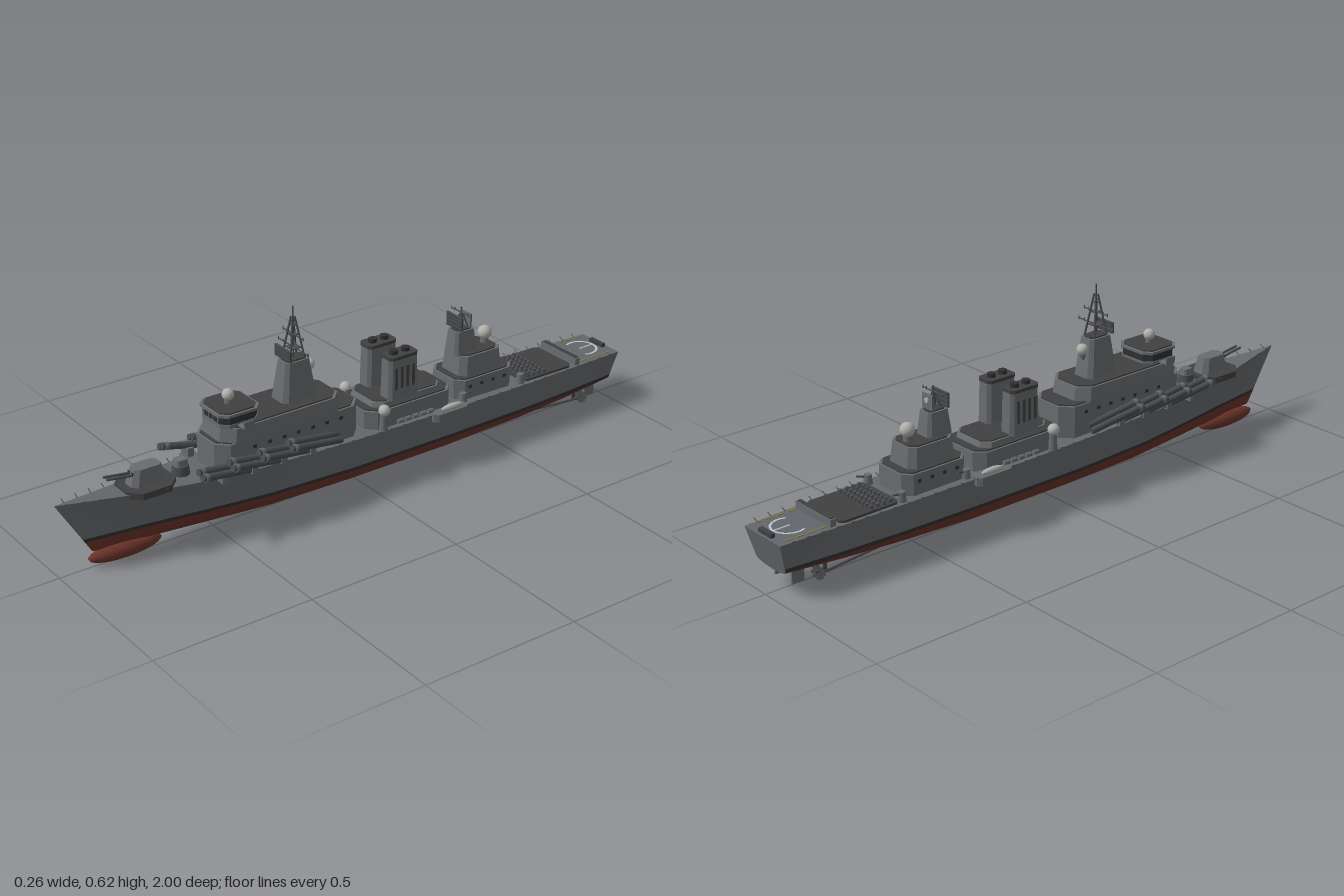
import * as THREE from 'three';

const mat = (name, color, side = THREE.FrontSide) => {
  const m = new THREE.MeshStandardMaterial({ color, side });
  m.name = name;
  return m;
};

export function createModel() {
  const ship = new THREE.Group();
  ship.name = 'warship';
  const M = {
    hull: mat('hullGrey', 0x66696c), red: mat('antifoulingRed', 0x6a3329), band: mat('waterlineBlack', 0x2f3032),
    deck: mat('deckGrey', 0x63676b), roof: mat('roofDark', 0x404041), upper: mat('superstructureGrey', 0x686c6f),
    dome: mat('domeWhite', 0xb0b0ac), white: mat('markingWhite', 0xbcc5cf, THREE.DoubleSide),
    yellow: mat('markingYellow', 0x8f7d32), metal: mat('gunMetal', 0x4a4c4f),
  };
  const add = (name, geo, m, x = 0, y = 0, z = 0, parent = ship) => {
    const mesh = new THREE.Mesh(geo, m);
    mesh.name = name;
    mesh.position.set(x, y, z);
    parent.add(mesh);
    return mesh;
  };
  const box = (name, m, w, h, d, x, y, z) => add(name, new THREE.BoxGeometry(w, h, d), m, x, y, z);
  const ball = (name, m, r, x, y, z) => add(name, new THREE.SphereGeometry(r, 18, 12), m, x, y, z);
  const drum = (name, m, r0, r1, h, x, y, z, n = 14) => add(name, new THREE.CylinderGeometry(r1, r0, h, n), m, x, y + h / 2, z);
  const rod = (name, m, a, b, r, n = 6) => {
    const A = new THREE.Vector3(...a), d = new THREE.Vector3(...b).sub(A);
    const mesh = add(name, new THREE.CylinderGeometry(r, r, d.length(), n), m);
    mesh.position.copy(A).addScaledVector(d, 0.5);
    mesh.quaternion.setFromUnitVectors(new THREE.Vector3(0, 1, 0), d.normalize());
    return mesh;
  };
  const toGeo = (pos, idx) => {
    const g = new THREE.BufferGeometry();
    g.setAttribute('position', new THREE.Float32BufferAttribute(pos, 3));
    g.setIndex(idx);
    return g;
  };
  // Eight-sided block with cut corners; k narrows the top
  const block = (name, m, w, z0, z1, y0, y1, c = 0.02, k = 1, x = 0) => {
    const zc = (z0 + z1) / 2, h = (z1 - z0) / 2, pos = [], idx = [];
    const ring = [[w, h - c], [w, c - h], [w - c, -h], [c - w, -h], [-w, c - h], [-w, h - c], [c - w, h], [w - c, h]];
    for (const [y, s] of [[y0, 1], [y1, k]]) for (const [px, pz] of ring) pos.push(x + px * s, y, zc + pz * s);
    for (let i = 0; i < 8; i++) {
      const j = (i + 1) % 8;
      idx.push(i, j, j + 8, i, j + 8, i + 8);
      if (i > 0 && i < 7) idx.push(8, 8 + i, 9 + i, 0, i + 1, i);
    }
    const g = toGeo(pos, idx).toNonIndexed();
    g.computeVertexNormals();
    return add(name, g, m);
  };
  // Block with a dark inset roof
  const house = (name, w, z0, z1, y0, y1, c = 0.02, k = 1, x = 0) => {
    block(name, M.upper, w, z0, z1, y0, y1, c, k, x);
    const h = (z1 - z0) / 2 * k - 0.006, zc = (z0 + z1) / 2;
    block(name + 'Roof', M.roof, w * k - 0.006, zc - h, zc + h, y1, y1 + 0.004, c * k, 1, x);
  };
  const interp = (table) => (t) => {
    let i = 0;
    while (i < table.length - 2 && t > table[i + 1][0]) i++;
    const [a, b] = [table[i], table[i + 1]];
    return a[1] + (b[1] - a[1]) * (t - a[0]) / (b[0] - a[0]);
  };

  // Hull: cross-sections from stern (t = 0) to bow (t = 1)
  const deckW = interp([[0, .085], [.1, .093], [.2, .1], [.35, .105], [.55, .105], [.7, .099], [.8, .078], [.9, .042], [1, .001]]);
  const waterW = interp([[0, .07], [.1, .085], [.2, .095], [.35, .1], [.55, .1], [.7, .083], [.8, .056], [.9, .026], [1, .001]]);
  const keelY = interp([[0, .07], [.1, .05], [.2, .035], [.35, .022], [.7, .022], [.9, .035], [1, .05]]);
  const deckY = interp([[0, .176], [.5, .186], [.75, .198], [.9, .212], [1, .228]]);
  const section = (t) => {
    const wd = deckW(t), ww = waterW(t), ky = keelY(t), dy = deckY(t), my = (dy + .096) / 2;
    const half = [[wd, dy], [ww + (wd - ww) * .45, my], [ww + (wd - ww) * .08, .096], [ww, .085],
      [ww * .88, ky + (.085 - ky) * .55], [ww * .55, ky + (.085 - ky) * .18], [0, ky]];
    const all = half.concat(half.slice(0, 6).reverse().map(([x, y]) => [-x, y]));
    return all.map(([x, y]) => {
      const zs = -1 + .25 * (.176 - y), zb = 1 - .6 * (.228 - y);
      return [x, y, zs + (zb - zs) * t];
    });
  };
  const N = 60, sections = Array.from({ length: N + 1 }, (_, i) => section(i / N));
  const skin = (name, m, pick) => {
    const pos = [], idx = [], n = pick.length;
    sections.forEach((s) => pick.forEach((j) => pos.push(...s[j])));
    for (let i = 0; i < N; i++) for (let j = 0; j < n - 1; j++) {
      const a = i * n + j, b = a + n;
      idx.push(a, b, a + 1, b, b + 1, a + 1);
    }
    const g = toGeo(pos, idx);
    g.computeVertexNormals();
    add(name, g, m);
  };
  skin('leftHullSide', M.hull, [0, 1, 2]);
  skin('rightHullSide', M.hull, [10, 11, 12]);
  skin('leftWaterlineBand', M.band, [2, 3]);
  skin('rightWaterlineBand', M.band, [9, 10]);
  skin('hullBottom', M.red, [3, 4, 5, 6, 7, 8, 9]);
  skin('mainDeck', M.deck, [12, 0]);
  const fan = [];
  for (let i = 1; i < 12; i++) fan.push(0, i, i + 1);
  const transom = toGeo(sections[0].flat(), fan);
  transom.computeVertexNormals();
  add('transom', transom, M.hull);
  ball('bowBulb', M.red, 1, 0, .027, .79).scale.set(.03, .026, .118);

  // Rails, shafts, propellers, rudders and side fittings
  for (const s of [1, -1]) {
    for (let z = -.96; z < .97; z += .047) {
      const t = (z + 1) / 2, w = deckW(t), y = deckY(t);
      rod('railPost', M.metal, [s * (w - .003), y, z], [s * (w + .013), y + .007, z], .0016, 4);
    }
    rod('propellerShaft', M.metal, [s * .045, .05, -.62], [s * .06, .04, -.86], .004);
    drum('propellerHub', M.metal, .006, .004, .02, s * .06, .04, -.866, 8).rotation.x = -Math.PI / 2;
    for (let i = 0; i < 4; i++) {
      const blade = box('propellerBlade', M.metal, .01, .044, .003, s * .06, .045, -.866);
      blade.rotation.set(0, .4, i * Math.PI / 4);
    }
    box('rudder', M.hull, .006, .05, .04, s * .04, .052, -.92);
    box('shaftStrut', M.metal, .004, .04, .012, s * .055, .06, -.84);

    // Missile tubes in slanted pairs, muzzles forward
    for (let i = 0; i < 4; i++) {
      const z = .6 - i * .1;
      for (const [x, y] of [[.098, .247], [.118, .237]]) {
        rod('missileTube', M.metal, [s * (x - .022), y - .036, z - .19], [s * x, y, z], .0105, 10);
        rod('tubeCollar', M.upper, [s * (x - .002), y - .003, z - .018], [s * (x - .001), y - .0015, z - .008], .0125, 10);
      }
      box('tubeSupport', M.upper, .04, .035, .02, s * .092, .21, z - .08);
    }
    // Side sponson and boat
    block('boatSponson', M.hull, .024, -.35, -.22, .165, .19, .012, 1, s * .102);
    ball('shipBoat', M.dome, 1, s * .112, .198, -.29).scale.set(.01, .01, .04);
    // Midships fire-control domes
    drum('domePedestal', M.upper, .014, .011, .055, s * .095, .185, -.045);
    ball('sideDome', M.dome, .018, s * .098, .25, -.045);
    // Life raft drums
    for (let i = 0; i < 5; i++) {
      rod('lifeRaft', M.upper, [s * .092, .195, -.1 - i * .028], [s * .092, .195, -.12 - i * .028], .007, 10);
    }
    // Small gun mounts around the aft house
    for (const z of [-.36, -.59]) {
      drum('smallGunMount', M.upper, .014, .011, .03, s * .078, .18, z, 10);
      rod('smallGunBarrel', M.metal, [s * .078, .202, z], [s * .085, .21, z - .035], .003);
    }
    // Portholes
    for (let i = 0; i < 7; i++) {
      box('porthole', M.band, .003, .01, .012, s * .0805, .262, .4 - i * .05);
      if (i < 4) box('porthole', M.band, .003, .01, .012, s * .0755, .222, -.39 - i * .045);
    }
  }

  // Forward gun and launcher
  block('gunPlatform', M.roof, .068, .635, .795, .198, .218, .034);
  block('gunTurret', M.upper, .033, .655, .77, .218, .267, .016, .74);
  for (const s of [1, -1]) {
    rod('gunBarrel', M.metal, [s * .009, .248, .74], [s * .009, .262, .84], .004, 8);
    box('gunPort', M.band, .01, .015, .008, s * .009, .25, .757);
  }
  drum('launcherBase', M.metal, .027, .024, .028, 0, .203, .6);
  block('launcher', M.upper, .018, .58, .62, .231, .25, .006, .85);

  // Forward superstructure and bridge
  house('forwardHouse', .08, .02, .515, .185, .287, .035);
  house('forwardUpperHouse', .083, .08, .5, .287, .332, .035, .96);
  block('bridgeBase', M.upper, .068, .365, .495, .332, .343, .022);
  block('bridgeWindows', M.band, .066, .367, .493, .343, .366, .022);
  block('bridgeRoof', M.upper, .07, .362, .5, .366, .374, .022);
  block('bridgeRoofPlate', M.roof, .063, .37, .492, .374, .378, .02);
  box('bridgeWings', M.upper, .2, .005, .035, 0, .337, .43);
  for (const s of [1, -1]) {
    box('wingScreen', M.upper, .004, .022, .035, s * .099, .346, .43);
    for (const x of [.012, .037]) box('windowFrame', M.upper, .003, .023, .004, s * x, .3545, .493);
  }
  drum('bridgeDomePedestal', M.upper, .012, .01, .015, 0, .376, .435);
  ball('bridgeDome', M.dome, .018, 0, .403, .435);

  // Forward tower and lattice mast
  house('forwardTower', .042, .15, .27, .332, .455, .014, .68);
  drum('towerDomeBracket', M.upper, .006, .012, .02, 0, .39, .16);
  ball('towerDome', M.dome, .018, 0, .422, .157);
  for (const sx of [1, -1]) for (const sz of [1, -1]) {
    rod('forwardMastLeg', M.metal, [sx * .022, .455, .21 + sz * .025], [sx * .004, .585, .21 + sz * .004], .0032);
    rod('aftMastLeg', M.metal, [sx * .014, .385, -.41 + sz * .018], [sx * .002, .435, -.41 + sz * .003], .0025);
  }
  for (const [y, w] of [[.49, .017], [.53, .012], [.56, .008]]) box('mastPlatform', M.metal, w * 2, .003, w * 2, 0, y, .21);
  rod('forwardMastPole', M.metal, [0, .455, .21], [0, .617, .21], .0025);
  const yard = (y, w, z) => {
    rod('yardarm', M.metal, [-w, y, z], [w, y, z], .002);
    for (const s of [1, -1]) for (const f of [.65, .97]) rod('yardAerial', M.metal, [s * w * f, y - .004, z], [s * w * f, y + .007, z], .0015, 4);
  };
  yard(.49, .077, .21);
  yard(.53, .052, .21);
  yard(.437, .048, -.41);
  const radar = (name, y, z, w, h) => {
    box(name, M.metal, w, h, .006, 0, y, z);
    for (let i = 0; i < 4; i++) box(name + 'Rib', M.roof, w * .94, .004, .01, 0, y + (i / 3 - .5) * h * .85, z);
  };
  radar('forwardRadar', .479, .245, .078, .034);

  // Funnel deck with twin side-by-side funnels
  house('funnelHouse', .088, -.32, 0, .18, .243, .03);
  block('funnelPlinth', M.upper, .078, -.29, -.03, .245, .262, .025, .95);
  block('funnelPlinthTop', M.roof, .068, -.28, -.04, .262, .265, .022);
  for (const s of [1, -1]) {
    const x = s * .052;
    block('funnel', M.upper, .028, -.19, -.078, .26, .39, .01, .93, x);
    block('funnelCap', M.roof, .029, -.186, -.081, .39, .4, .01, 1, x);
    for (const z of [-.155, -.112]) drum('exhaust', M.band, .013, .013, .012, x, .4, z);
    for (let i = 0; i < 4; i++) {
      box('funnelLouvre', M.roof, .004, .07, .01, x + s * .0275, .33, -.165 + i * .021);
    }
  }

  // Aft superstructure, tower and mast
  house('aftHouse', .076, -.57, -.345, .175, .245, .025);
  house('aftUpperHouse', .06, -.54, -.37, .245, .31, .02, .9);
  house('aftTower', .033, -.455, -.365, .31, .385, .01, .78);
  rod('aftMastPole', M.metal, [0, .385, -.41], [0, .455, -.41], .0025);
  radar('aftRadar', .414, -.385, .074, .044);
  drum('aftRadarHub', M.dome, .008, .008, .006, 0, .414, -.434, 10).rotation.x = Math.PI / 2;
  box('aftRadarBack', M.upper, .046, .045, .006, 0, .412, -.43);
  drum('aftDomePedestal', M.upper, .014, .012, .02, 0, .312, -.505);
  ball('aftDome', M.dome, .022, 0, .347, -.505);

  // Launch-cell deck
  block('cellDeck', M.roof, .085, -.8, -.6, .17, .186, .012);
  for (let i = 0; i < 9; i++) for (let j = 0; j < 4; j++) {
    drum('launchCell', M.metal, .0075, .0065, .01, (i - 4) * .0175, .186, -.625 - j * .022, 8);
  }
  box('hangarScreen', M.upper, .165, .026, .018, 0, .187, -.825);
  box('hangarScreenTop', M.roof, .155, .003, .012, 0, .2015, -.825);

  // Helicopter deck markings and stern fittings
  const ring = new THREE.RingGeometry(.046, .053, 32, 1, -.45, Math.PI + .9);
  ring.rotateX(-Math.PI / 2);
  add('landingCircle', ring, M.white, 0, .181, -.915);
  box('landingLine', M.white, .005, .002, .05, 0, .1805, -.935);
  for (const s of [1, -1]) for (let i = 0; i < 4; i++) {
    box('deckEdgeMark', M.yellow, .005, .002, .025, s * .073, .1805, -.855 - i * .036);
  }
  box('sternWinch', M.roof, .06, .012, .014, 0, .182, -.985);
  return ship;
}
